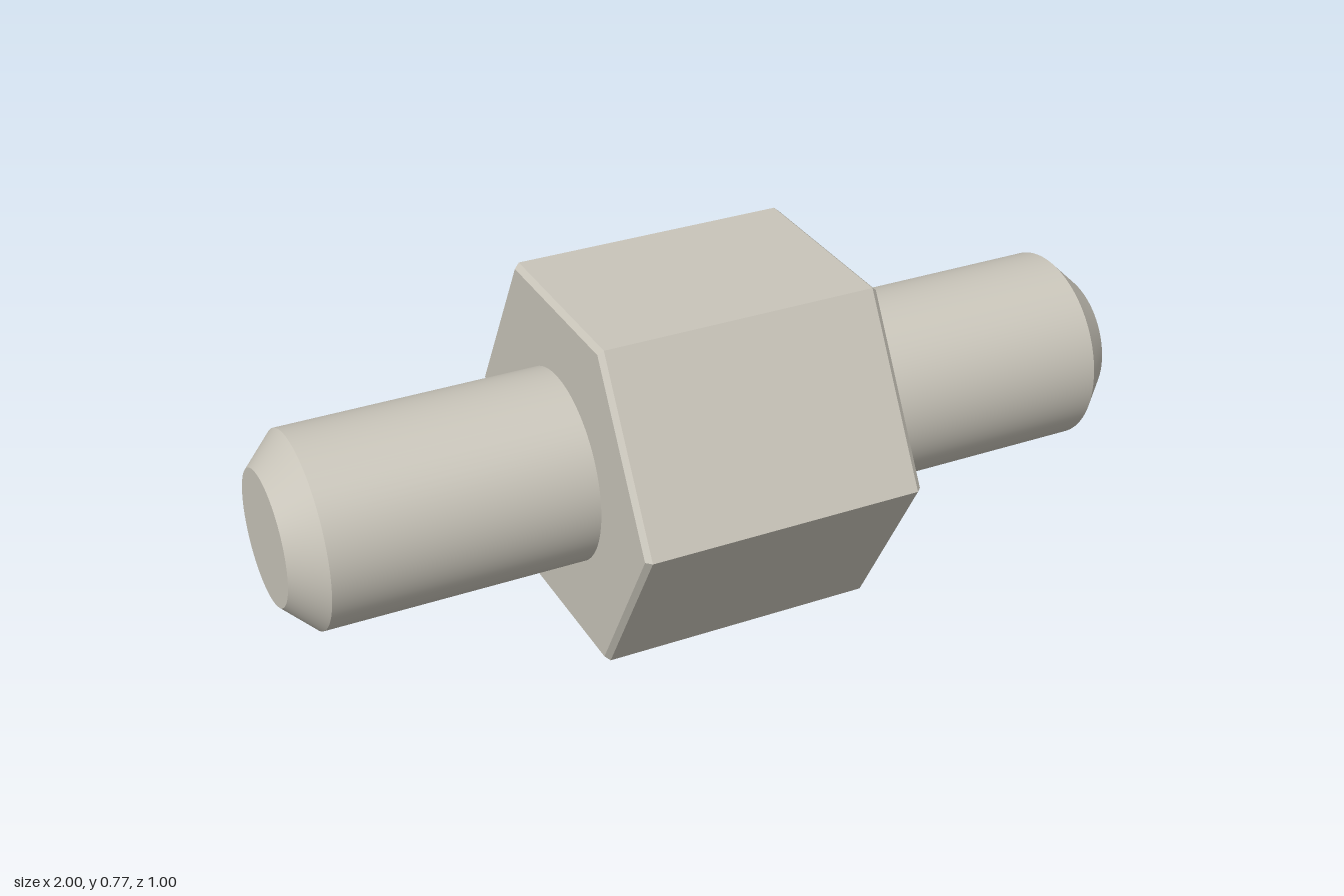
import * as THREE from 'three';

const STUD_R = 0.218, TIP_R = 0.15, SHOULDER = 0.92, END = 0.99;
const HEX_R = 0.445, HEX_HALF = 0.325, BEVEL = 0.012;
const CENTRE_Y = HEX_R * Math.cos(Math.PI / 6);

export function createModel() {
  const metal = new THREE.MeshStandardMaterial({ color: 0xc9c5ba });
  const model = new THREE.Group();
  model.name = 'hexFitting';

  // Parts are stacked along y, then the whole axis is laid down and turned
  const axis = new THREE.Group();
  axis.name = 'fittingAxis';
  const add = (parent, name, geometry, y = 0) => {
    const mesh = new THREE.Mesh(geometry, metal);
    mesh.name = name;
    mesh.position.y = y;
    parent.add(mesh);
    return mesh;
  };
  const ring = (rTop, rBottom, y0, y1, sides) =>
    new THREE.CylinderGeometry(rTop, rBottom, y1 - y0, sides, 1, true).translate(0, (y0 + y1) / 2, 0);
  const disc = (r, sides, y) =>
    new THREE.CircleGeometry(r, sides, Math.PI / 2).rotateX(-Math.PI / 2).translate(0, y, 0);
  const faceted = (geometry) => {
    const flat = geometry.toNonIndexed();
    flat.computeVertexNormals();
    return flat;
  };

  // Hexagonal body with flat sides
  const bevelStart = HEX_HALF - BEVEL;
  add(axis, 'hexSides', faceted(ring(HEX_R, HEX_R, -bevelStart, bevelStart, 6)));

  // Each end: hex bevel and face, round stud, chamfered tip
  for (const [name, turn] of [['leftEnd', Math.PI], ['rightEnd', 0]]) {
    const end = new THREE.Group();
    end.name = name;
    end.rotation.x = turn;
    add(end, 'hexBevel', faceted(ring(HEX_R - BEVEL, HEX_R, bevelStart, HEX_HALF, 6)));
    add(end, 'hexFace', disc(HEX_R - BEVEL, 6, HEX_HALF));
    add(end, 'stud', ring(STUD_R, STUD_R, HEX_HALF, SHOULDER, 96));
    add(end, 'tipChamfer', ring(TIP_R, STUD_R, SHOULDER, END, 96));
    add(end, 'tipFace', disc(TIP_R, 96, END));
    axis.add(end);
  }

  axis.rotation.z = Math.PI / 2;
  const turned = new THREE.Group();
  turned.name = 'turnedFitting';
  turned.rotation.y = -THREE.MathUtils.degToRad(12);
  turned.position.y = CENTRE_Y;
  turned.add(axis);
  model.add(turned);
  return model;
}
